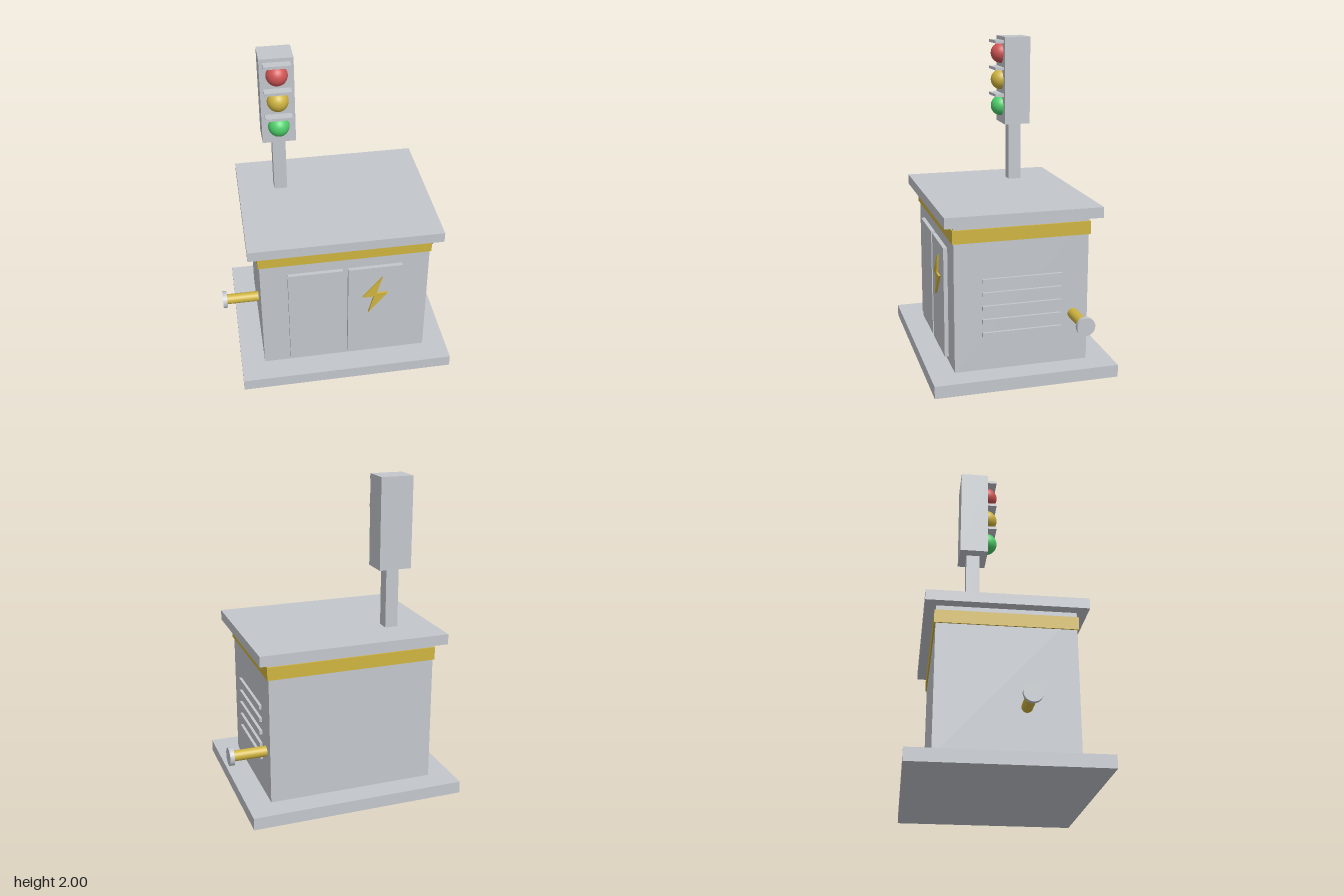
import * as THREE from 'three';

const mat = (name, color) => {
  const m = new THREE.MeshStandardMaterial({ color });
  m.name = name;
  return m;
};

export function createModel() {
  const root = new THREE.Group();
  root.name = 'signalCabinet';
  const grey = mat('grey', 0xc3c7cc);
  const yellow = mat('yellow', 0xcfb440);
  const red = mat('red', 0xd25656);
  const green = mat('green', 0x4fd06c);

  const add = (name, geometry, material, x = 0, y = 0, z = 0) => {
    const mesh = new THREE.Mesh(geometry, material);
    mesh.name = name;
    mesh.position.set(x, y, z);
    root.add(mesh);
    return mesh;
  };
  // Box given by its extents on each axis
  const box = (name, material, [x0, x1], [y0, y1], [z0, z1]) =>
    add(name, new THREE.BoxGeometry(x1 - x0, y1 - y0, z1 - z0), material,
      (x0 + x1) / 2, (y0 + y1) / 2, (z0 + z1) / 2);

  // Cabinet
  box('base', grey, [-0.68, 0.68], [0, 0.077], [-0.568, 0.568]);
  box('body', grey, [-0.529, 0.529], [0.077, 0.99], [-0.415, 0.415]);
  box('band', yellow, [-0.538, 0.538], [0.878, 0.959], [-0.424, 0.424]);
  box('roof', grey, [-0.597, 0.597], [0.99, 1.055], [-0.481, 0.481]);

  // Doors
  box('rightDoor', grey, [-0.36, -0.018], [0.11, 0.804], [0.41, 0.44]);
  box('leftDoor', grey, [0.016, 0.357], [0.11, 0.804], [0.41, 0.44]);

  // Warning bolt on the left door
  const bolt = new THREE.Shape([
    [0.23, 0.728], [0.105, 0.58], [0.178, 0.58],
    [0.146, 0.451], [0.268, 0.602], [0.194, 0.602],
  ].map(([x, y]) => new THREE.Vector2(x, y)));
  add('boltSign', new THREE.ExtrudeGeometry(bolt, { depth: 0.014, bevelEnabled: false }),
    yellow, 0, 0, 0.439);

  // Vent slats on the left side
  for (let i = 0; i < 5; i++) {
    const y = 0.304 + i * 0.0838;
    box('ventSlat', grey, [0.52, 0.546], [y - 0.013, y + 0.013], [-0.246, 0.246]);
  }

  // Side pipes with end flanges
  for (const [side, z] of [[1, -0.323], [-1, 0.11]]) {
    const pipe = add('pipe', new THREE.CylinderGeometry(0.033, 0.033, 0.24, 32), yellow,
      side * 0.62, 0.382, z);
    const flange = add('pipeFlange', new THREE.CylinderGeometry(0.056, 0.056, 0.028, 32), grey,
      side * 0.75, 0.382, z);
    pipe.rotation.z = flange.rotation.z = Math.PI / 2;
  }

  // Signal post and head
  const sx = -0.326;
  box('signalPost', grey, [sx - 0.041, sx + 0.041], [1.05, 1.44], [-0.23, -0.147]);
  box('signalHead', grey, [sx - 0.103, sx + 0.103], [1.435, 2], [-0.273, -0.103]);

  // Lamps, each under a small visor
  [['redLamp', red], ['yellowLamp', yellow], ['greenLamp', green]].forEach(([name, material], i) => {
    const y = 1.893 - i * 0.1725;
    add(name, new THREE.SphereGeometry(0.066, 32, 20), material, sx, y, -0.103);
    box('visor', grey, [sx - 0.082, sx + 0.082], [y + 0.066, y + 0.084], [-0.108, -0.046]);
  });

  return root;
}
